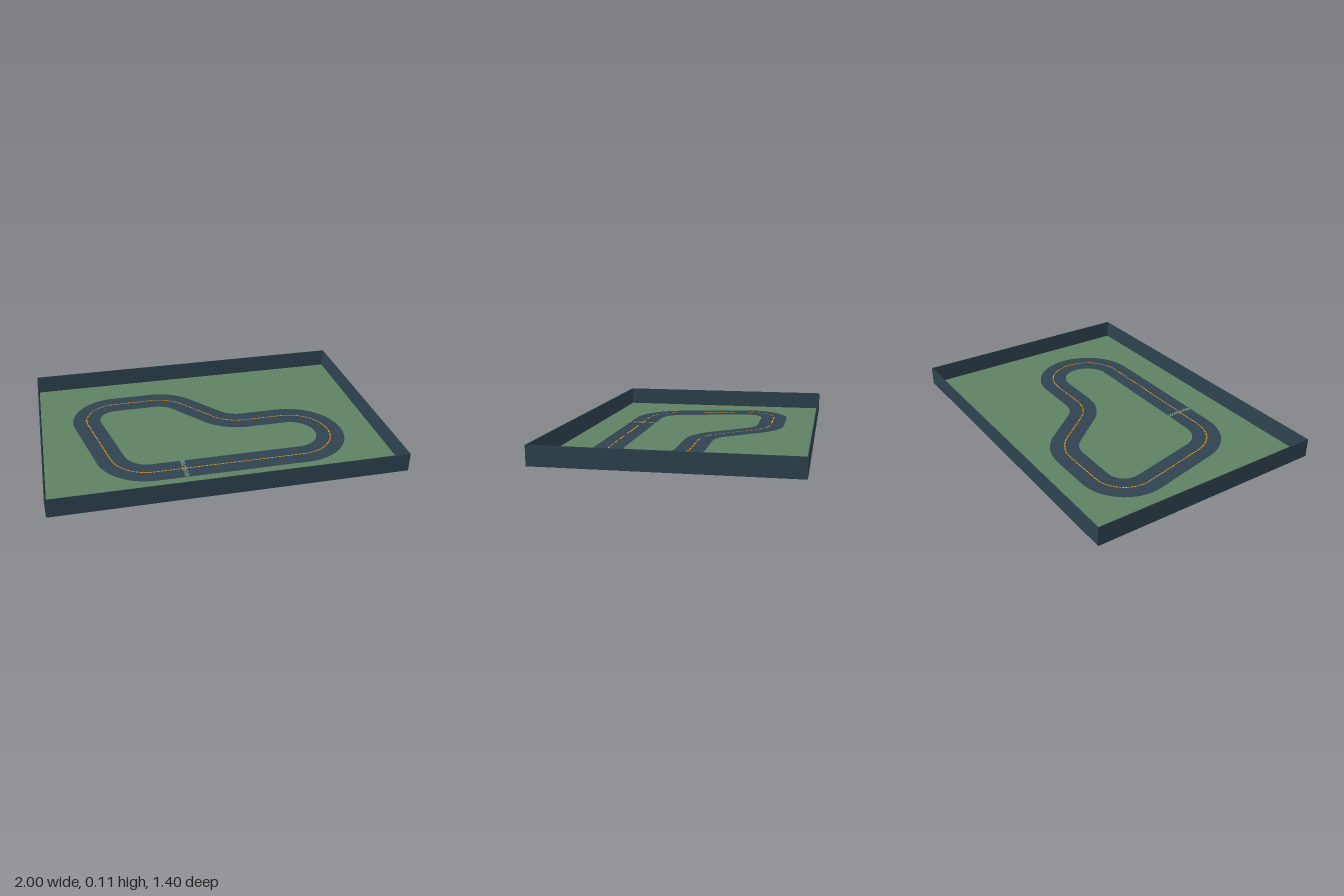
import * as THREE from 'three';
import { mergeGeometries } from 'three/addons/utils/BufferGeometryUtils.js';

const green = new THREE.MeshStandardMaterial({ name: 'grass green', color: 0x5f8264, side: THREE.DoubleSide });
const slate = new THREE.MeshStandardMaterial({ name: 'dark slate', color: 0x2e434e });
const orange = new THREE.MeshStandardMaterial({ name: 'line orange', color: 0xf39c12 });
const pale = new THREE.MeshStandardMaterial({ name: 'start line sage', color: 0x7d9a86 });

const WIDTH = 2, DEPTH = 1.4, HEIGHT = 0.11, WALL = 0.004;
const ROAD_HALF = 0.084;

// Track corners as x, z, bend radius
const corners = [
  [-0.58, 0.415, 0.23], [0.715, 0.415, 0.2275], [0.715, -0.04, 0.2275],
  [0.13, -0.04, 0.24], [-0.17, -0.415, 0.24], [-0.765, -0.41, 0.187],
];

// Centre line: arcs at the corners, joined by straights
function centreLine(steps = 24) {
  const frames = [];
  const n = corners.length;
  corners.forEach(([x, z, r], i) => {
    const before = corners[(i + n - 1) % n], after = corners[(i + 1) % n];
    const a = Math.atan2(z - before[1], x - before[0]);
    let turn = Math.atan2(after[1] - z, after[0] - x) - a;
    turn = Math.atan2(Math.sin(turn), Math.cos(turn));
    const s = Math.sign(turn), cut = r * Math.tan(Math.abs(turn) / 2);
    const cx = x - Math.cos(a) * cut - Math.sin(a) * s * r;
    const cz = z - Math.sin(a) * cut + Math.cos(a) * s * r;
    for (let k = 0; k <= steps; k++) {
      const t = a + turn * k / steps;
      frames.push({ x: cx + s * r * Math.sin(t), z: cz - s * r * Math.cos(t), nx: -Math.sin(t), nz: Math.cos(t) });
    }
  });
  frames.push({ ...frames[0] });
  return frames;
}

// Flat strip following a list of frames
function ribbon(frames, half, y) {
  const pos = [], idx = [];
  frames.forEach((f, i) => {
    pos.push(f.x - f.nx * half, y, f.z - f.nz * half, f.x + f.nx * half, y, f.z + f.nz * half);
    const a = i * 2;
    if (i < frames.length - 1) idx.push(a, a + 1, a + 2, a + 1, a + 3, a + 2);
  });
  const g = new THREE.BufferGeometry();
  g.setAttribute('position', new THREE.Float32BufferAttribute(pos, 3));
  g.setIndex(idx);
  g.computeVertexNormals();
  return g;
}

// Short dashes at an even pitch along the centre line
function dashes(frames, pitch, length, half, y) {
  const dist = [0];
  for (let i = 1; i < frames.length; i++)
    dist.push(dist[i - 1] + Math.hypot(frames[i].x - frames[i - 1].x, frames[i].z - frames[i - 1].z));
  const at = (d) => {
    let i = 1;
    while (i < frames.length - 1 && dist[i] < d) i++;
    const p = frames[i - 1], q = frames[i], t = (d - dist[i - 1]) / (dist[i] - dist[i - 1]);
    const mix = (k) => p[k] + (q[k] - p[k]) * t;
    return { x: mix('x'), z: mix('z'), nx: mix('nx'), nz: mix('nz') };
  };
  const parts = [];
  const count = Math.floor(dist[dist.length - 1] / pitch);
  for (let i = 0; i < count; i++) parts.push(ribbon([at(i * pitch), at(i * pitch + length)], half, y));
  return mergeGeometries(parts);
}

// Chequered band across the road
function chequers(x, z, cols, rows, width, depth, y) {
  const w = width / cols, d = depth / rows, parts = [];
  for (let c = 0; c < cols; c++)
    for (let r = 0; r < rows; r++)
      if ((c + r) % 2 === 0)
        parts.push(new THREE.PlaneGeometry(w, d).rotateX(-Math.PI / 2)
          .translate(x + (c + 0.5) * w - width / 2, y, z + (r + 0.5) * d - depth / 2));
  return mergeGeometries(parts);
}

export function createModel() {
  const model = new THREE.Group();
  model.name = 'raceTrackTray';
  const add = (name, geometry, material) => {
    const m = new THREE.Mesh(geometry, material);
    m.name = name;
    model.add(m);
    return m;
  };

  // Tray floor and its four thin walls
  add('ground', new THREE.PlaneGeometry(WIDTH - WALL, DEPTH - WALL).rotateX(-Math.PI / 2), green);
  for (const s of [1, -1]) {
    add(s > 0 ? 'frontWall' : 'backWall', new THREE.BoxGeometry(WIDTH, HEIGHT, WALL), slate)
      .position.set(0, HEIGHT / 2, s * (DEPTH - WALL) / 2);
    add(s > 0 ? 'leftWall' : 'rightWall', new THREE.BoxGeometry(WALL, HEIGHT, DEPTH - 2 * WALL), slate)
      .position.set(s * (WIDTH - WALL) / 2, HEIGHT / 2, 0);
  }

  // Road with its markings
  const line = centreLine();
  add('road', ribbon(line, ROAD_HALF, 0.003), slate);
  add('centreDashes', dashes(line, 0.016, 0.011, 0.004, 0.005), orange);
  add('startLine', chequers(-0.222, 0.415, 3, 20, 0.026, ROAD_HALF * 2, 0.0045), pale);
  return model;
}
